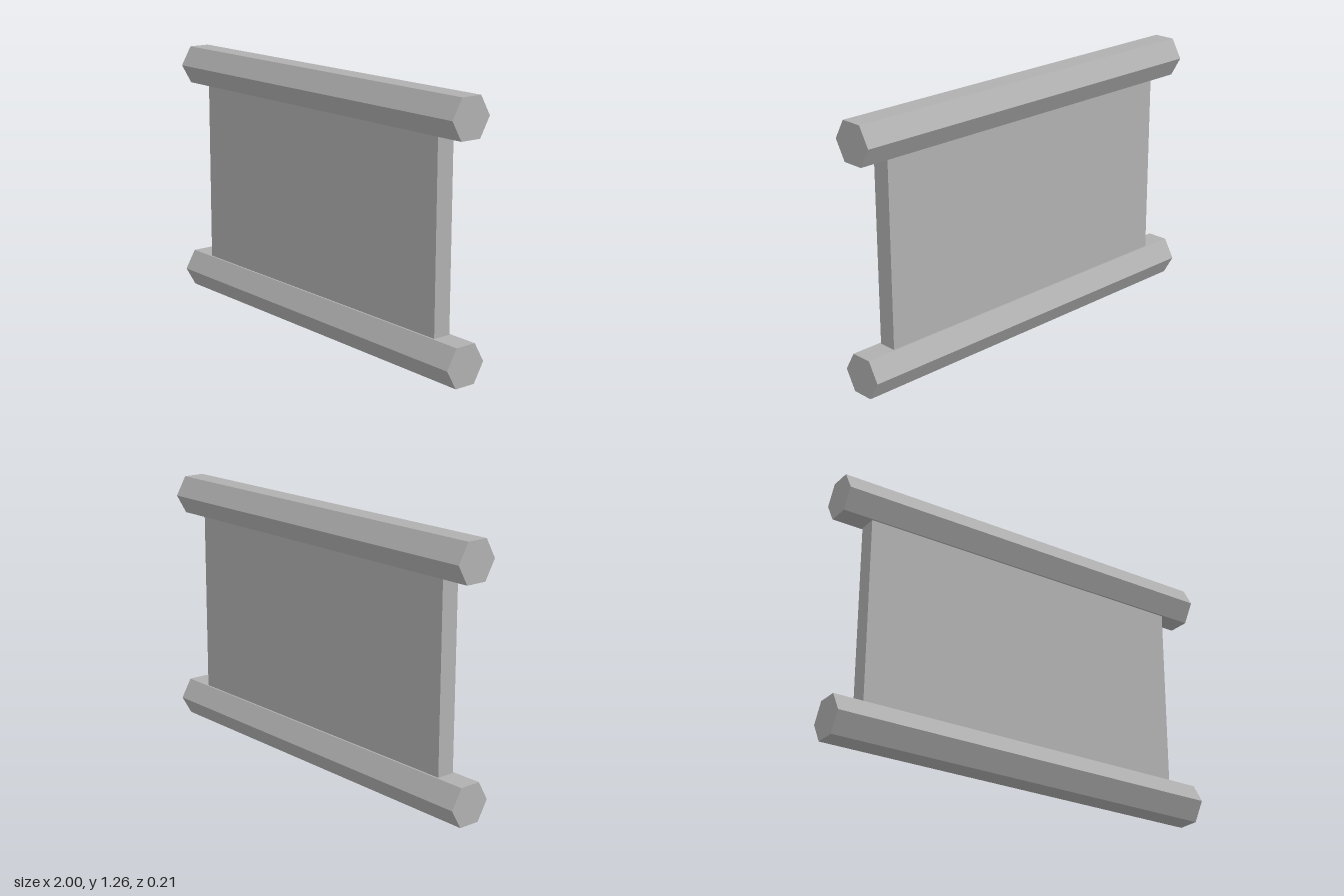
import * as THREE from 'three';

const RADIUS = 0.107;                        // hexagon corner radius
const APOTHEM = RADIUS * Math.sqrt(3) / 2;   // hexagon centre to flat
const HEIGHT = 1.265;

export function createModel() {
  const group = new THREE.Group();
  group.name = 'panelWithRails';

  const grey = new THREE.MeshStandardMaterial({ color: 0xb0b0b0, flatShading: true });
  grey.name = 'grey';

  // Hexagonal rails along x, flats on top and bottom, corners to front and back
  const railGeometry = new THREE.CylinderGeometry(RADIUS, RADIUS, 2, 6);
  railGeometry.rotateZ(Math.PI / 2);
  const rails = { bottomRail: APOTHEM, topRail: HEIGHT - APOTHEM };
  for (const [name, y] of Object.entries(rails)) {
    const rail = new THREE.Mesh(railGeometry, grey);
    rail.name = name;
    rail.position.y = y;
    group.add(rail);
  }

  // Flat panel standing between the rails
  const panelHeight = HEIGHT - 4 * APOTHEM;
  const panel = new THREE.Mesh(new THREE.BoxGeometry(1.7, panelHeight, 0.09), grey);
  panel.name = 'panel';
  panel.position.y = HEIGHT / 2;
  group.add(panel);

  return group;
}
